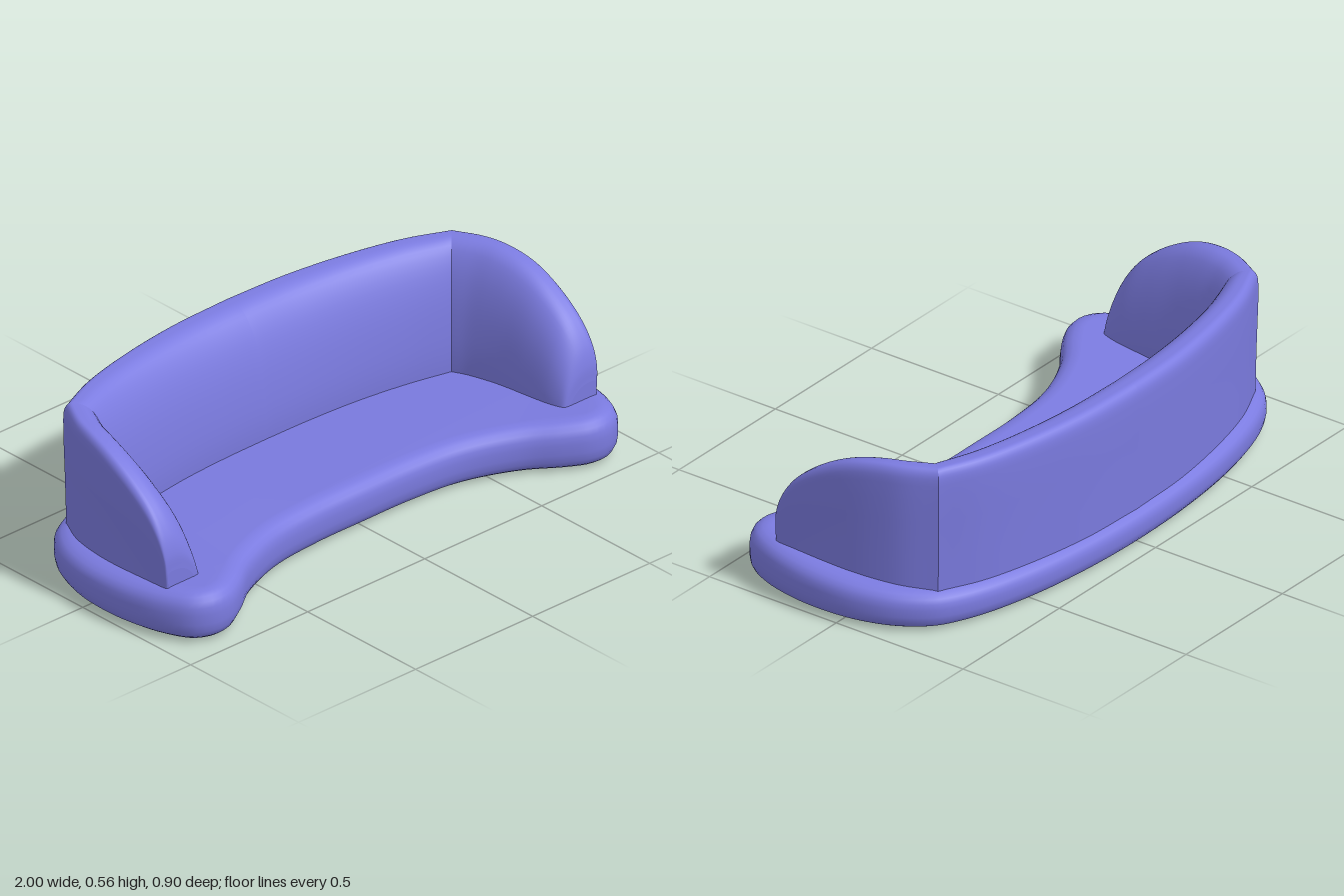
import * as THREE from 'three';

const fabric = new THREE.MeshStandardMaterial({ color: 0x7b7be0 });
fabric.name = 'periwinkle fabric';

function buildGeometry(positions, index) {
  const g = new THREE.BufferGeometry();
  g.setAttribute('position', new THREE.Float32BufferAttribute(positions, 3));
  g.setIndex(index);
  g.computeVertexNormals();
  return g;
}

function addMesh(group, name, geometry) {
  const mesh = new THREE.Mesh(geometry, fabric);
  mesh.name = name;
  group.add(mesh);
}

// Kidney-shaped seat: rounded rim rings around a plan outline, top sloping down to the back
function seatGeometry() {
  const half = [
    [0, 0.23], [0.2, 0.232], [0.4, 0.255], [0.58, 0.325], [0.69, 0.4], [0.77, 0.442], [0.84, 0.447],
    [0.91, 0.41], [0.96, 0.32], [0.99, 0.2], [0.998, 0.08], [0.985, -0.05], [0.94, -0.18],
    [0.865, -0.28], [0.8, -0.322], [0.68, -0.37], [0.48, -0.417], [0.25, -0.445], [0, -0.455],
  ];
  const mirrored = half.slice(1, -1).reverse().map(([x, z]) => [-x, z]);
  const curve = new THREE.CatmullRomCurve3(
    [...half, ...mirrored].map(([x, z]) => new THREE.Vector3(x, 0, z)), true);
  const N = 180;
  const outline = curve.getSpacedPoints(N).slice(0, N);
  // inset from the outline, fraction of the local height
  const rim = [
    [0.075, 0], [0.05, 0.012], [0.03, 0.05], [0.014, 0.12], [0.004, 0.24], [0, 0.4], [0, 0.6],
    [0.003, 0.74], [0.011, 0.85], [0.024, 0.93], [0.042, 0.98], [0.06, 0.997], [0.07, 1],
  ];
  const positions = [], index = [];
  for (const [inset, f] of rim) {
    outline.forEach((p, i) => {
      const t = outline[(i + 1) % N].clone().sub(outline[(i + N - 1) % N]).normalize();
      const x = p.x + t.z * inset, z = p.z - t.x * inset;
      positions.push(x, 0.003 + f * (0.145 + 0.06 * z), z);
    });
  }
  const at = (ring, i) => ring * N + (i % N);
  for (let r = 0; r < rim.length - 1; r++) {
    for (let i = 0; i < N; i++) {
      index.push(at(r, i), at(r, i + 1), at(r + 1, i + 1), at(r, i), at(r + 1, i + 1), at(r + 1, i));
    }
  }
  // flat top and underside
  const last = rim.length - 1;
  for (const ring of [0, last]) {
    const contour = outline.map((p, i) => {
      const k = at(ring, i) * 3;
      return new THREE.Vector2(positions[k], -positions[k + 2]);
    });
    for (const [a, b, c] of THREE.ShapeUtils.triangulateShape(contour, [])) {
      if (ring === last) index.push(at(ring, a), at(ring, b), at(ring, c));
      else index.push(at(ring, a), at(ring, c), at(ring, b));
    }
  }
  return buildGeometry(positions, index);
}

// Upholstered cross-section: upright outside, narrow crest, bulging inside
const BASE = 0.08;
const section = new THREE.CatmullRomCurve3([
  [0.06, 0], [0.03, 0.45], [0, 0.88], [0.02, 0.955], [0.09, 0.995], [0.2, 1], [0.36, 0.99],
  [0.53, 0.94], [0.72, 0.81], [0.87, 0.62], [0.97, 0.38], [1, 0.2], [0.98, 0],
].map(([t, f]) => new THREE.Vector3(t, f, 0))).getPoints(36);

// Sections lofted through stations of [outer x, outer z, inner x, inner z, height]
function loftSections(stations, steps, side) {
  const line = (a, b) => new THREE.CatmullRomCurve3(
    stations.map((s) => new THREE.Vector3(s[a], s[4], s[b])));
  const outer = line(0, 1), inner = line(2, 3);
  const rows = [];
  for (let s = 0; s <= steps; s++) {
    const o = outer.getPoint(s / steps), n = inner.getPoint(s / steps);
    rows.push(section.map(({ x: t, y: f }) => [
      side * THREE.MathUtils.lerp(o.x, n.x, t),
      BASE + (o.y - BASE) * f,
      THREE.MathUtils.lerp(o.z, n.z, t),
    ]));
  }
  return rows;
}

function pushTriangle(index, side, a, b, c) {
  if (side > 0) index.push(a, b, c);
  else index.push(a, c, b);
}

function loftGeometry(rows, side) {
  const M = section.length, index = [];
  for (let s = 0; s < rows.length - 1; s++) {
    for (let v = 0; v < M - 1; v++) {
      const a = s * M + v, b = a + M;
      pushTriangle(index, side, a, b, b + 1);
      pushTriangle(index, side, a, b + 1, a + 1);
    }
  }
  return buildGeometry(rows.flat(2), index);
}

function endCapGeometry(row, side) {
  const M = row.length, index = [];
  const centre = [(row[0][0] + row[M - 1][0]) / 2, BASE, row[0][2]];
  for (let v = 0; v < M - 1; v++) pushTriangle(index, side, M, v, v + 1);
  return buildGeometry([...row, centre].flat(), index);
}

export function createModel() {
  const group = new THREE.Group();
  group.name = 'curvedSofa';
  addMesh(group, 'seat', seatGeometry());

  // front of the arm back to the corner
  const arm = [
    [0.915, 0.303, 0.785, 0.303, 0.22], [0.923, 0.298, 0.775, 0.298, 0.275],
    [0.928, 0.275, 0.77, 0.275, 0.34], [0.93, 0.22, 0.763, 0.225, 0.413],
    [0.93, 0.12, 0.757, 0.13, 0.486], [0.925, 0.02, 0.75, 0.03, 0.533],
    [0.91, -0.08, 0.738, -0.045, 0.555], [0.885, -0.17, 0.725, -0.1, 0.561],
    [0.83, -0.275, 0.708, -0.145, 0.561],
  ];
  // corner to the middle of the back
  const back = [
    [0.83, -0.275, 0.708, -0.145, 0.561], [0.69, -0.338, 0.56, -0.182, 0.561],
    [0.5, -0.388, 0.37, -0.212, 0.561], [0.25, -0.426, 0.18, -0.225, 0.561],
    [0, -0.437, 0, -0.228, 0.561],
  ];
  for (const [label, side] of [['left', 1], ['right', -1]]) {
    const armRows = loftSections(arm, 40, side);
    addMesh(group, label + 'Arm', loftGeometry(armRows, side));
    addMesh(group, label + 'ArmFront', endCapGeometry(armRows[0], side));
    addMesh(group, label + 'Backrest', loftGeometry(loftSections(back, 24, side), side));
  }
  return group;
}
